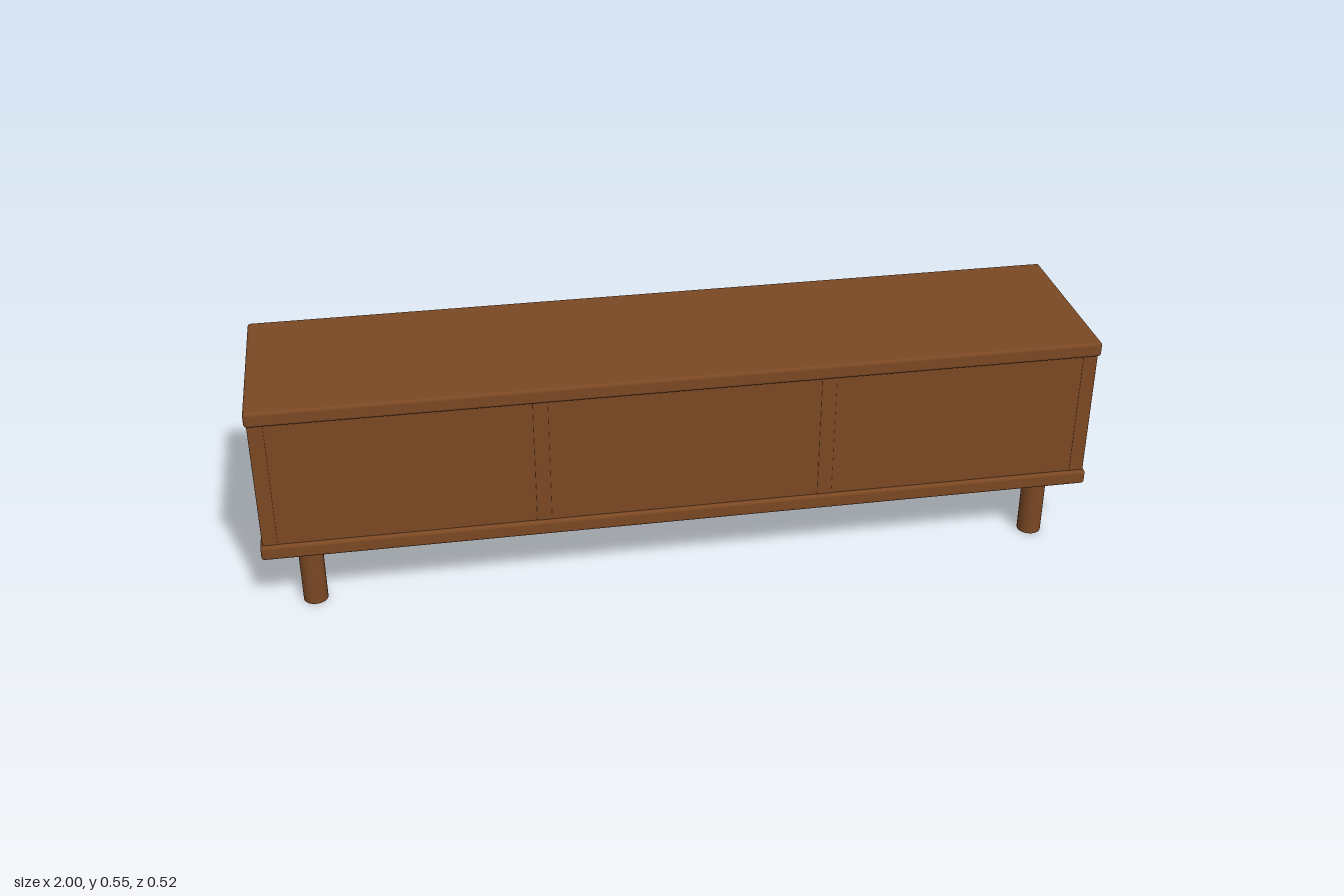
import * as THREE from 'three';
import { RoundedBoxGeometry } from 'three/addons/geometries/RoundedBoxGeometry.js';

const wood = new THREE.MeshStandardMaterial({ color: 0x7a4824 });
wood.name = 'walnut wood';

export function createModel() {
  const model = new THREE.Group();
  model.name = 'mediaConsole';

  const add = (name, geometry, x, y, z) => {
    const mesh = new THREE.Mesh(geometry, wood);
    mesh.name = name;
    mesh.position.set(x, y, z);
    model.add(mesh);
    return mesh;
  };

  // Softly rounded board given by its extents on each axis
  const board = (name, [x0, x1], [y0, y1], [z0, z1], radius) =>
    add(name, new RoundedBoxGeometry(x1 - x0, y1 - y0, z1 - z0, 3, radius),
      (x0 + x1) / 2, (y0 + y1) / 2, (z0 + z1) / 2);

  // Top and bottom slabs
  board('topSlab', [-1, 1], [0.508, 0.545], [-0.19, 0.259], 0.008);
  board('bottomSlab', [-1, 1], [0.152, 0.189], [-0.19, 0.259], 0.008);

  // Back panel between the end panels
  board('backPanel', [-0.97, 0.97], [0.184, 0.513], [0.22, 0.249], 0.002);

  for (const [side, s] of [['left', 1], ['right', -1]]) {
    const span = (a, b) => (s > 0 ? [a, b] : [-b, -a]);

    // End panels and dividers of the open middle bay
    board(side + 'EndPanel', span(0.959, 0.995), [0.184, 0.513], [-0.181, 0.25], 0.003);
    board(side + 'Divider', span(0.321, 0.357), [0.184, 0.513], [-0.181, 0.25], 0.003);

    // Drawer front with its round knob
    board(side + 'DrawerFront', span(0.358, 0.965), [0.196, 0.5], [-0.224, -0.192], 0.008);
    const knob = add(side + 'Knob', new THREE.CylinderGeometry(0.02, 0.02, 0.029, 24),
      s * 0.66, 0.348, -0.2435);
    knob.rotation.x = Math.PI / 2;

    // Round legs
    for (const [end, z] of [['Front', 0.205], ['Back', -0.135]]) {
      add(side + end + 'Leg', new THREE.CylinderGeometry(0.029, 0.029, 0.156, 32),
        s * 0.89, 0.078, z);
    }
  }

  return model;
}
